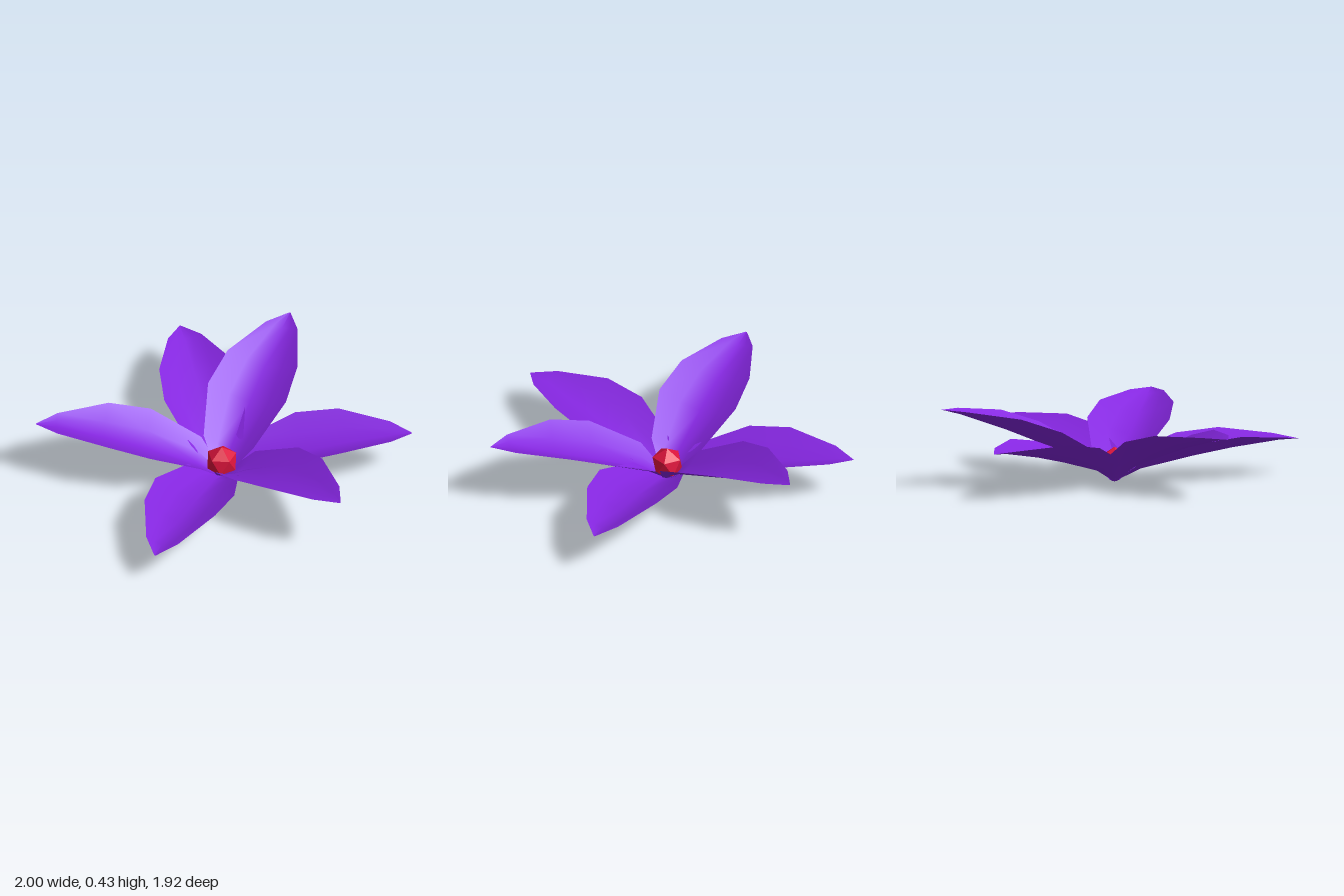
import * as THREE from 'three';

const purple = new THREE.MeshStandardMaterial({ color: 0x8526e0, side: THREE.DoubleSide });
purple.name = 'petal purple';
const red = new THREE.MeshStandardMaterial({ color: 0xdc143c, flatShading: true });
red.name = 'crimson';

// Petal cross-sections from base to tip: distance along, centre height, half width, edge lift
const SECTIONS = [
  [0, 0, 0.03, 0.012],
  [0.155, 0.036, 0.147, 0.07],
  [0.455, 0.04, 0.228, 0.1],
  [0.69, 0.035, 0.204, 0.085],
  [0.955, 0.017, 0.093, 0.025],
  [1.065, 0, 0.003, 0],
];
const ACROSS = 4;

// Cupped petal pointing along +x, upper side facing +y
function petalGeometry() {
  const positions = [], indices = [], row = ACROSS + 1;
  SECTIONS.forEach(([along, height, halfWidth, lift], i) => {
    for (let j = 0; j <= ACROSS; j++) {
      const u = (j / ACROSS) * 2 - 1;
      positions.push(along, height + lift * Math.abs(u) ** 1.5, u * halfWidth);
      if (i > 0 && j > 0) {
        const d = i * row + j, c = d - 1, b = d - row, a = b - 1;
        indices.push(a, b, d, a, d, c);
      }
    }
  });
  const geometry = new THREE.BufferGeometry();
  geometry.setAttribute('position', new THREE.Float32BufferAttribute(positions, 3));
  geometry.setIndex(indices);
  geometry.computeVertexNormals();
  return geometry;
}

// Tip of each petal relative to the flower's centre: x, z and upward tilt in degrees
const PETALS = [
  ['backPetal', 0, -1.03, 14.2],
  ['backLeftPetal', 0.56, -0.8, 23.8],
  ['leftPetal', 1.02, 0.19, 14],
  ['frontLeftPetal', 0.46, 0.88, 20.9],
  ['frontRightPetal', -0.57, 0.88, 10.3],
  ['rightPetal', -0.98, -0.23, 18.7],
];

export function createModel() {
  const flower = new THREE.Group();
  flower.name = 'flower';
  const geometry = petalGeometry();

  // Ring of petals, each with its own tilt
  for (const [name, x, z, tilt] of PETALS) {
    const petal = new THREE.Mesh(geometry, purple);
    petal.name = name;
    petal.position.set(-0.02, 0, 0.07);
    petal.rotation.set(0, Math.atan2(-z, x), THREE.MathUtils.degToRad(tilt), 'YXZ');
    flower.add(petal);
  }

  // Faceted centre with one corner pointing straight up
  const centreGeometry = new THREE.IcosahedronGeometry(0.09, 0);
  centreGeometry.rotateZ(-Math.atan(2 / (1 + Math.sqrt(5))));
  const centre = new THREE.Mesh(centreGeometry, red);
  centre.name = 'flowerCentre';
  centre.position.set(-0.02, 0.1, 0.07);
  flower.add(centre);

  return flower;
}
